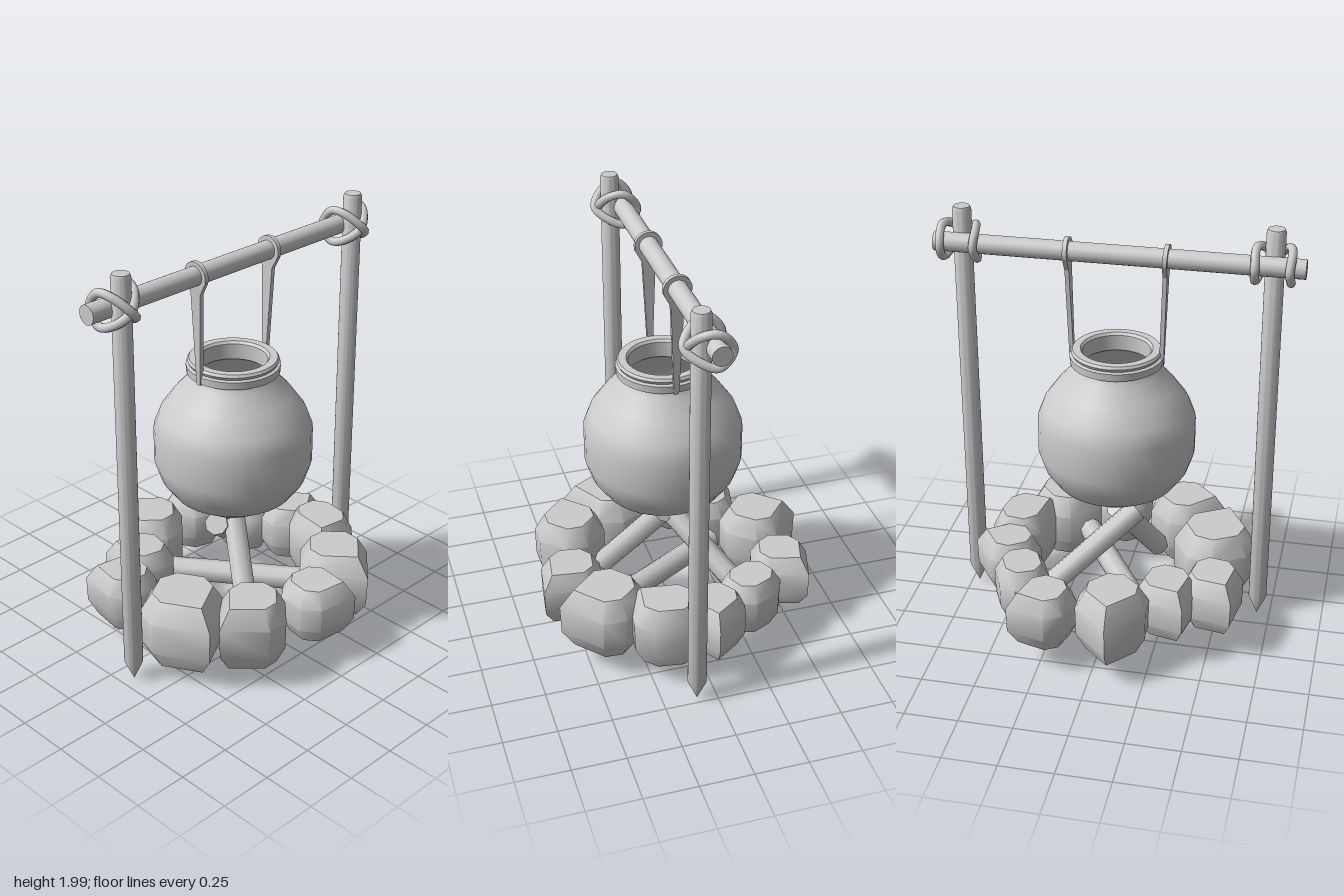
import * as THREE from 'three';
import { toCreasedNormals } from 'three/addons/utils/BufferGeometryUtils.js';
import { ConvexGeometry } from 'three/addons/geometries/ConvexGeometry.js';

const mat = new THREE.MeshStandardMaterial({ color: 0xcccccc, side: THREE.DoubleSide });
const V = (x, y, z) => new THREE.Vector3(x, y, z);

function add(parent, name, geo, x = 0, y = 0, z = 0) {
  const mesh = new THREE.Mesh(geo, mat);
  mesh.name = name;
  mesh.position.set(x, y, z);
  parent.add(mesh);
  return mesh;
}

// Cylinder running from a to b
function rod(parent, name, a, b, r, sides) {
  const mesh = add(parent, name, new THREE.CylinderGeometry(r, r, a.distanceTo(b), sides));
  mesh.position.lerpVectors(a, b, 0.5);
  mesh.quaternion.setFromUnitVectors(V(0, 1, 0), b.clone().sub(a).normalize());
}

const lathe = pts => new THREE.LatheGeometry(pts.map(p => new THREE.Vector2(...p)), 36);

// Chamfered block: three corners cut, one left sharp, narrower at top and bottom
function stoneGeometry(w, d, tilt, y0, y1, sharp) {
  const outline = [];
  const t = THREE.MathUtils.degToRad(tilt);
  [[1, 1], [-1, 1], [-1, -1], [1, -1]].forEach(([sx, sz], i) => {
    const ends = i === sharp ? [[1, 1]] : [[1, 0.5], [0.5, 1]];
    for (const [u, v] of ends) {
      const x = sx * u * w / 2, z = sz * v * d / 2;
      outline.push([x * Math.cos(t) - z * Math.sin(t), x * Math.sin(t) + z * Math.cos(t)]);
    }
  });
  const pts = [];
  for (const [h, s] of [[0, 0.72], [0.27, 0.98], [0.72, 1], [1, 0.7]])
    for (const [x, z] of outline) pts.push(V(x * s, y0 + (y1 - y0) * h, z * s));
  return toCreasedNormals(new ConvexGeometry(pts), 0.85);
}

export function createModel() {
  const model = new THREE.Group();
  model.name = 'campfireCookingPot';
  const barX = 0.04, barY = 1.845, postX = 0.092;

  // Two sharpened posts with figure-eight rope lashings
  for (const [side, z] of [['front', 0.688], ['back', -0.715]]) {
    add(model, side + 'Post', toCreasedNormals(lathe([
      [0, 0.01], [0.043, 0.11], [0.043, 1.985], [0.037, 2], [0, 2]]), 0.6), postX, 0, z);
    const rope = new THREE.CatmullRomCurve3([
      V(0.165, 0, 0), V(0.11, 0.065, 0.055), V(0.04, 0.078, 0.078), V(-0.018, 0, 0.075),
      V(0.04, -0.07, 0.078), V(0.11, -0.05, 0.055), V(0.15, 0, 0),
      V(0.11, 0.065, -0.055), V(0.04, 0.078, -0.078), V(-0.018, 0, -0.075),
      V(0.04, -0.07, -0.078), V(0.11, -0.05, -0.055)], true);
    add(model, side + 'Lashing', new THREE.TubeGeometry(rope, 96, 0.02, 8, true), 0, barY, z);
  }

  // Crossbar
  rod(model, 'crossbar', V(barX, barY, -0.83), V(barX, barY, 0.83), 0.044, 20);

  // Straps looped over the bar and tapering to the pot rim
  const strap = new THREE.Shape();
  strap.moveTo(-0.011, -0.52);
  strap.lineTo(0.011, -0.52);
  strap.lineTo(0.03, -0.08);
  strap.lineTo(0.062, -0.02);
  strap.absarc(0, 0, 0.064, -0.3, Math.PI + 0.3, false);
  strap.lineTo(-0.03, -0.08);
  const strapGeo = new THREE.ExtrudeGeometry(strap, { depth: 0.02, bevelEnabled: false, curveSegments: 12 });
  strapGeo.translate(0, 0, -0.01);
  for (const s of [1, -1])
    add(model, s > 0 ? 'frontStrap' : 'backStrap', strapGeo, barX, barY, s * 0.222).rotation.x = 0.03 * s;

  // Round pot with open, hollow neck
  const pot = new THREE.Group();
  pot.name = 'pot';
  pot.position.x = barX;
  model.add(pot);
  add(pot, 'potBody', lathe([
    [0, 0.62], [0.17, 0.655], [0.28, 0.725], [0.335, 0.8], [0.365, 0.89], [0.365, 1.05],
    [0.335, 1.13], [0.27, 1.22], [0.2, 1.295], [0.185, 1.34]]));
  add(pot, 'potRim', toCreasedNormals(lathe([
    [0.18, 1.325], [0.212, 1.33], [0.214, 1.365], [0.2, 1.37], [0.208, 1.385], [0.2, 1.397],
    [0.165, 1.397], [0.155, 1.385], [0.155, 1.31]]), 0.6));
  add(pot, 'potInside', lathe([
    [0.155, 1.32], [0.25, 1.2], [0.33, 1.05], [0.33, 0.9], [0.25, 0.75], [0, 0.67]]));

  // Firewood leaning together under the pot
  rod(model, 'log', V(0.03, 0.56, 0.1), V(-0.26, 0.24, -0.29), 0.055, 8);
  rod(model, 'log', V(0.05, 0.55, 0.0), V(0.3, 0.2, 0.16), 0.055, 8);
  rod(model, 'log', V(-0.25, 0.22, 0.16), V(0.32, 0.25, -0.2), 0.055, 8);

  // Ring of stones: x, z, width, depth, tilt, bottom, top, sharp corner
  const stones = [
    [-0.47, -0.23, 0.27, 0.26, 16, 0.13, 0.40, 2],
    [-0.27, -0.39, 0.28, 0.24, -25, 0.13, 0.40, -1],
    [-0.06, -0.50, 0.26, 0.26, -35, 0.13, 0.40, 3],
    [0.16, -0.49, 0.33, 0.26, 8, 0.11, 0.43, 0],
    [0.40, -0.32, 0.32, 0.32, 48, 0.11, 0.43, 3],
    [0.51, -0.06, 0.28, 0.27, 8, 0.13, 0.40, 3],
    [0.44, 0.27, 0.31, 0.30, 45, 0.11, 0.43, 0],
    [0.18, 0.46, 0.36, 0.36, -30, 0.085, 0.43, 0],
    [-0.17, 0.50, 0.28, 0.26, 9, 0.13, 0.40, 1],
    [-0.27, 0.30, 0.27, 0.26, 12, 0.13, 0.40, 1],
    [-0.45, 0.08, 0.31, 0.30, 42, 0.11, 0.43, 1],
  ];
  for (const [x, z, ...shape] of stones) add(model, 'stone', stoneGeometry(...shape), x, 0, z);

  return model;
}
